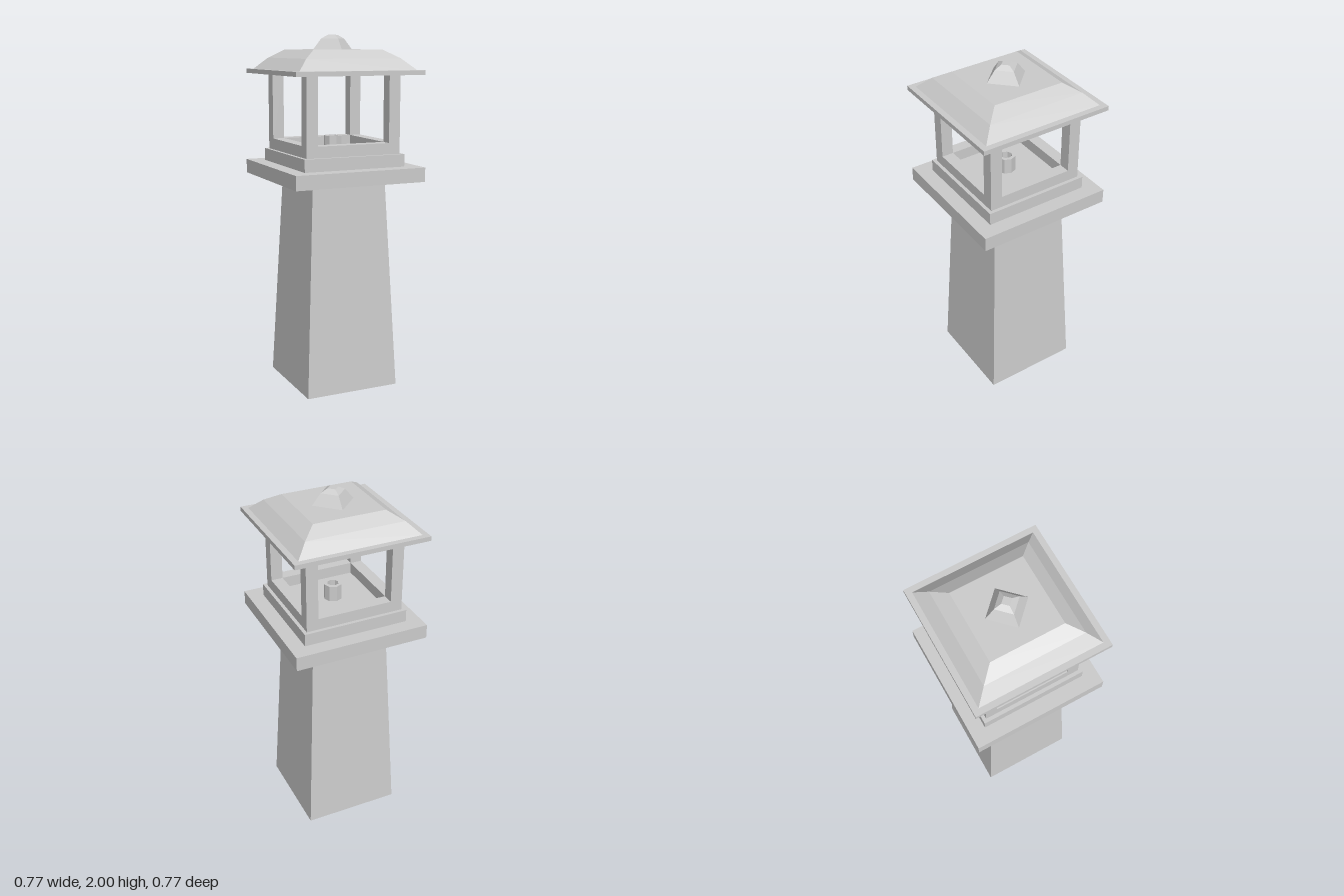
import * as THREE from 'three';

const material = new THREE.MeshStandardMaterial({ color: 0xcccccc, flatShading: true });

function add(parent, name, geometry, x = 0, y = 0, z = 0) {
  const mesh = new THREE.Mesh(geometry, material);
  mesh.name = name;
  mesh.position.set(x, y, z);
  parent.add(mesh);
  return mesh;
}

// Square block given by half width and vertical extent
function slab(parent, name, half, y0, y1) {
  return add(parent, name, new THREE.BoxGeometry(half * 2, y1 - y0, half * 2), 0, (y0 + y1) / 2, 0);
}

// Faceted solid from a profile of [radius, y]
function turned(parent, name, profile, sides, start = 0) {
  const points = profile.map(([r, y]) => new THREE.Vector2(r, y));
  return add(parent, name, new THREE.LatheGeometry(points, sides, start));
}

// Square solid from a profile of [half width, y]
function squareTurned(parent, name, profile) {
  return turned(parent, name, profile.map(([h, y]) => [h * Math.SQRT2, y]), 4, Math.PI / 4);
}

export function createModel() {
  const model = new THREE.Group();
  model.name = 'lanternTower';

  // Tapered shaft and the stepped platform on it
  squareTurned(model, 'shaft', [[0, 0], [0.277, 0], [0.22, 1.2], [0, 1.2]]);
  slab(model, 'platform', 0.385, 1.2, 1.28);
  slab(model, 'platformStep', 0.3, 1.28, 1.35);

  // Low curb around the lantern floor
  const outer = 0.28, inner = 0.213;
  const curbShape = new THREE.Shape();
  curbShape.moveTo(-outer, -outer).lineTo(outer, -outer).lineTo(outer, outer).lineTo(-outer, outer).closePath();
  const hole = new THREE.Path();
  hole.moveTo(-inner, -inner).lineTo(-inner, inner).lineTo(inner, inner).lineTo(inner, -inner).closePath();
  curbShape.holes.push(hole);
  const curb = new THREE.ExtrudeGeometry(curbShape, { depth: 0.063, bevelEnabled: false });
  curb.rotateX(-Math.PI / 2);
  add(model, 'curb', curb, 0, 1.35, 0);

  // Corner posts
  const posts = new THREE.Group();
  posts.name = 'posts';
  const size = outer - inner, mid = (outer + inner) / 2;
  for (const sx of [-1, 1]) {
    for (const sz of [-1, 1]) {
      add(posts, 'post', new THREE.BoxGeometry(size, 0.375, size), sx * mid, 1.6, sz * mid);
    }
  }
  model.add(posts);

  // Hollow lamp holder on the floor
  turned(model, 'lampHolder', [[0.052, 1.35], [0.052, 1.44], [0.032, 1.44], [0.032, 1.35]], 8);

  // Eaves, hipped roof and finial
  slab(model, 'eaves', 0.379, 1.785, 1.81);
  squareTurned(model, 'roof', [[0.346, 1.81], [0.28, 1.873], [0.205, 1.92], [0, 1.92]]);
  turned(model, 'finial', [[0.119, 1.92], [0.07, 1.98], [0.03, 2], [0, 2]], 4);

  return model;
}
